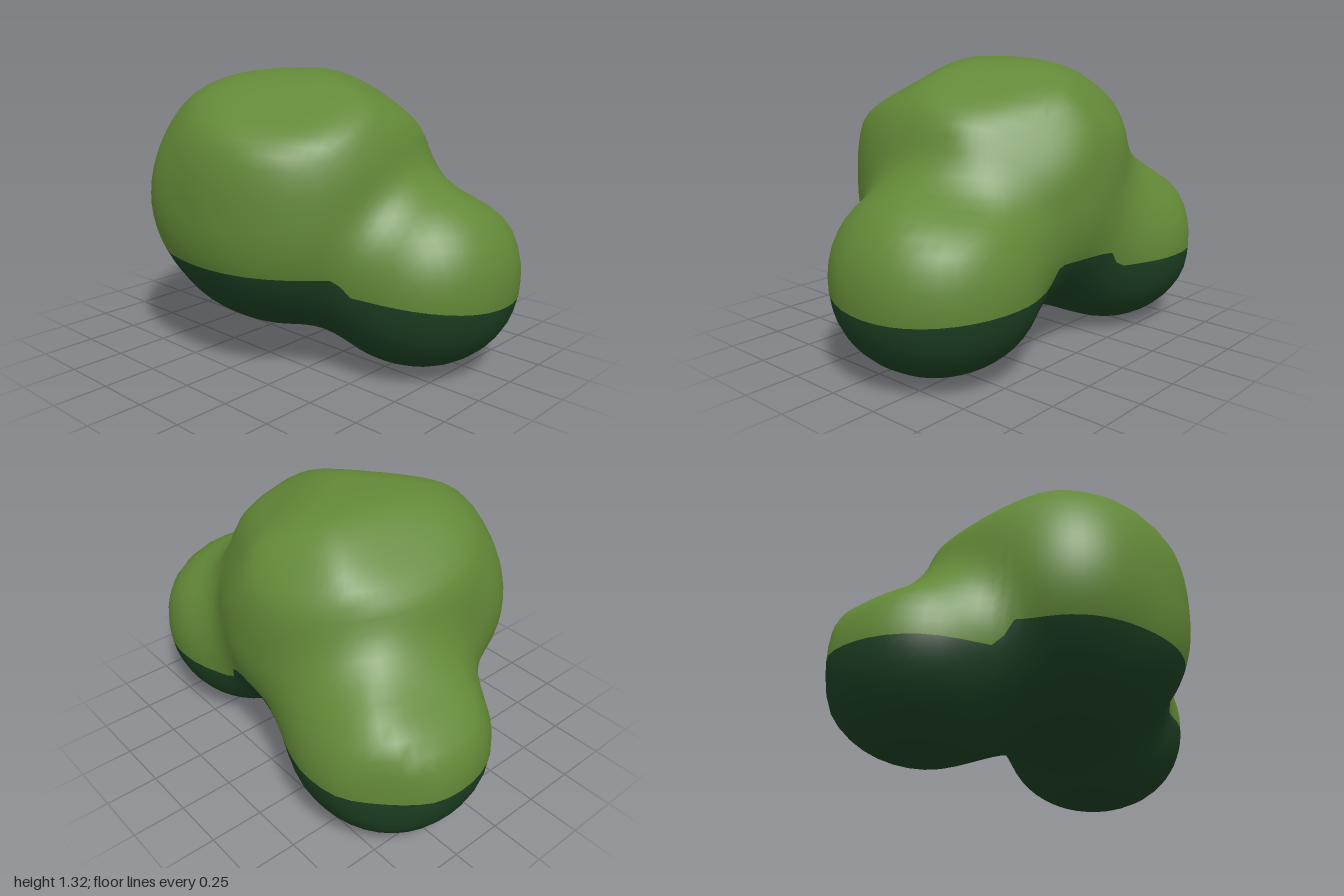
import * as THREE from 'three';

// Rounded lobes: centre, radii, roundness in plan, above and below the middle,
// and flattened sides given as [normal x, y, z, distance from the centre]
const MAIN = {
  c: [-0.02, 0.73, 0.03], r: [0.61, 0.59, 0.645], plan: 2.15, up: 2.8, down: 2.2,
  cuts: [
    [0.3, 0.87, 0.39, 0.59], [-0.58, 0.8, -0.1, 0.607], [0.5, 0.45, -0.74, 0.635],
    [0.37, 0.86, -0.33, 0.6], [-0.22, 0.69, -0.69, 0.675],
  ],
};
const SHOULDER = { c: [-0.22, 0.74, 0.28], r: [0.37, 0.4, 0.365], plan: 2, up: 2.1, down: 2, cuts: [] };
const RIGHT = {
  c: [-0.55, 0.41, -0.25], r: [0.45, 0.41, 0.435], plan: 2.1, up: 2, down: 2.1,
  cuts: [[-0.55, 0.83, 0, 0.38], [-0.71, 0, -0.71, 0.43]],
};
const LEFT = { c: [0.55, 0.44, -0.16], r: [0.45, 0.42, 0.45], plan: 2.1, up: 2.1, down: 2.2, cuts: [[0.25, 0.87, -0.43, 0.415]] };
const CORE = new THREE.Vector3(0, 0.47, -0.06);

const norm = (a, b, p) => Math.pow(Math.pow(Math.abs(a), p) + Math.pow(Math.abs(b), p), 1 / p);

// Smooth union of two distances
function blend(a, b, k) {
  const h = Math.max(k - Math.abs(a - b), 0) / k;
  return Math.min(a, b) - h * h * k / 4;
}

function lobe(L, p) {
  const x = p.x - L.c[0], y = p.y - L.c[1], z = p.z - L.c[2];
  const plan = norm(x / L.r[0], z / L.r[2], L.plan);
  let d = (norm(plan, y / L.r[1], y > 0 ? L.up : L.down) - 1) * Math.min(...L.r);
  for (const [nx, ny, nz, dist] of L.cuts) d = -blend(-d, dist - (nx * x + ny * y + nz * z), 0.05);
  return d;
}

const middle = (p) => blend(lobe(MAIN, p), lobe(SHOULDER, p), 0.06);
const sides = (p) => Math.min(lobe(RIGHT, p), lobe(LEFT, p));
const field = (p) => blend(blend(middle(p), lobe(RIGHT, p), 0.2), lobe(LEFT, p), 0.15);

// Point of the blended surface in a direction from the core
function surfacePoint(theta, phi) {
  const d = new THREE.Vector3(Math.cos(phi) * Math.sin(theta), Math.sin(phi), Math.cos(phi) * Math.cos(theta));
  let lo = 0, hi = 1.5;
  for (let i = 0; i < 24; i++) {
    const t = (lo + hi) / 2;
    if (field(d.clone().multiplyScalar(t).add(CORE)) < 0) lo = t; else hi = t;
  }
  return d.multiplyScalar(lo).add(CORE);
}

function surfaceNormal(p) {
  const e = 0.03, n = new THREE.Vector3();
  for (const k of ['x', 'y', 'z']) {
    const a = p.clone(), b = p.clone();
    a[k] += e;
    b[k] -= e;
    n[k] = field(a) - field(b);
  }
  return n.normalize();
}

// Height of the colour border: higher on the main lobe than on the side lobes
function borderHeight(p) {
  const s = THREE.MathUtils.smoothstep(sides(p) - middle(p), -0.05, 0.06);
  const side = p.x > 0 ? 0.36 + 0.17 * (p.z + 0.3) ** 2 : 0.385;
  return THREE.MathUtils.lerp(side, 0.487 + 0.035 * p.z, s);
}

function borderAngle(theta) {
  let lo = -0.7, hi = 0.7;
  for (let i = 0; i < 18; i++) {
    const mid = (lo + hi) / 2, p = surfacePoint(theta, mid);
    if (p.y < borderHeight(p)) lo = mid; else hi = mid;
  }
  return (lo + hi) / 2;
}

// One half of the foliage, from the border to the top or the bottom
function foliage(name, material, upper) {
  const cols = 96, rows = 24, pos = [], nor = [], idx = [];
  for (let i = 0; i <= cols; i++) {
    const theta = (i / cols) * Math.PI * 2, edge = borderAngle(theta);
    for (let j = 0; j <= rows; j++) {
      const from = upper ? edge : -Math.PI / 2, to = upper ? Math.PI / 2 : edge;
      const p = surfacePoint(theta, from + (to - from) * j / rows);
      pos.push(p.x, p.y, p.z);
      nor.push(...surfaceNormal(p).toArray());
      if (i < cols && j < rows) {
        const a = i * (rows + 1) + j, b = a + rows + 1;
        idx.push(a, b, b + 1, a, b + 1, a + 1);
      }
    }
  }
  const g = new THREE.BufferGeometry();
  g.setAttribute('position', new THREE.Float32BufferAttribute(pos, 3));
  g.setAttribute('normal', new THREE.Float32BufferAttribute(nor, 3));
  g.setIndex(idx);
  const mesh = new THREE.Mesh(g, material);
  mesh.name = name;
  return mesh;
}

export function createModel() {
  const light = new THREE.MeshStandardMaterial({ color: 0x628837 });
  light.name = 'leaf green';
  const dark = new THREE.MeshStandardMaterial({ color: 0x1c3e22 });
  dark.name = 'shaded green';

  const bush = new THREE.Group();
  bush.name = 'bush';
  bush.add(foliage('upperFoliage', light, true), foliage('lowerFoliage', dark, false));
  return bush;
}
